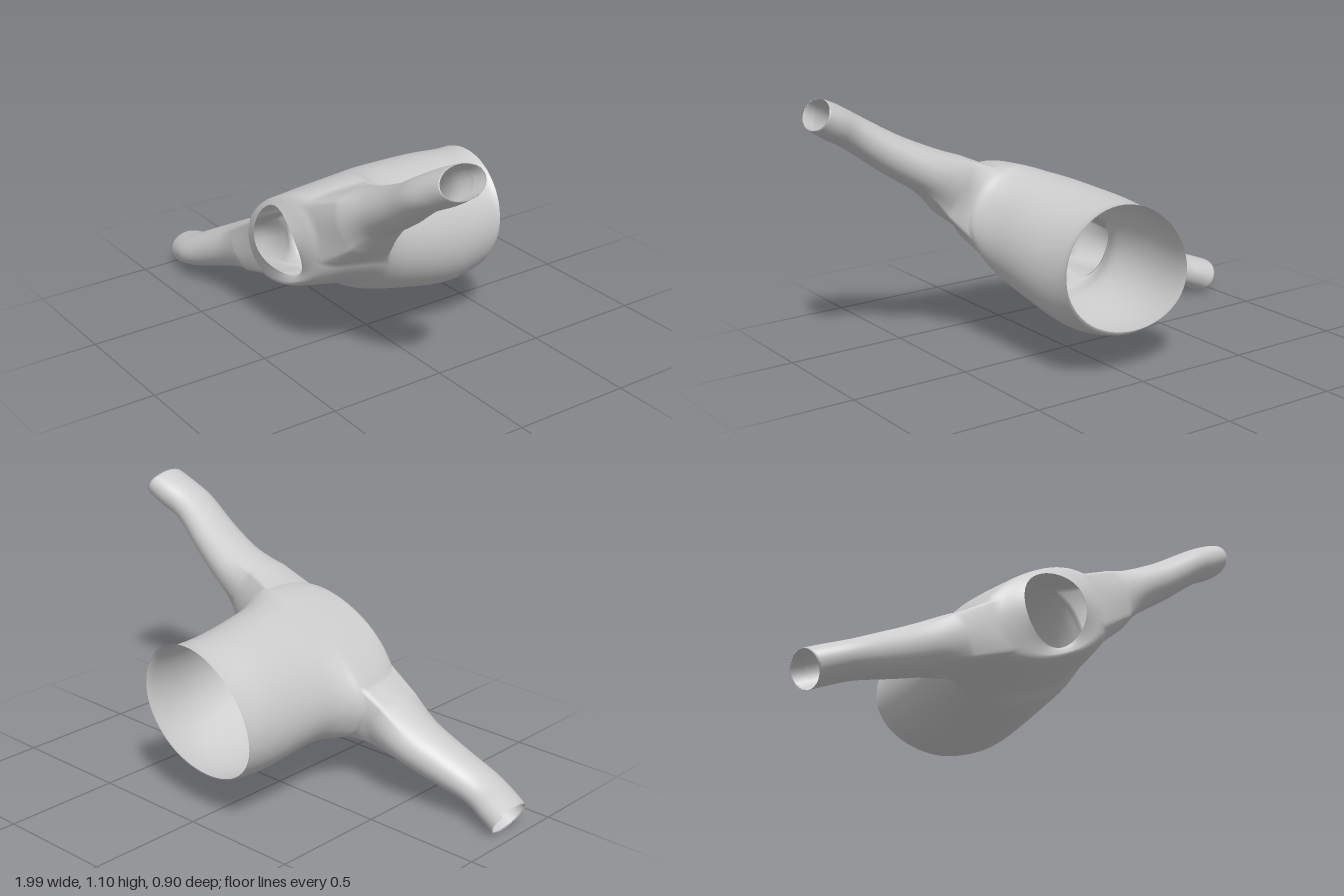
import * as THREE from 'three';

const TILT = THREE.MathUtils.degToRad(27.3);
const U = new THREE.Vector3(Math.cos(TILT), Math.sin(TILT), 0);   // along the sleeves
const V = new THREE.Vector3(-Math.sin(TILT), Math.cos(TILT), 0);  // towards the back of the shirt
const AROUND = 60, SUB = 4;

// torso sections from hem to neck: z, centre x, centre y, half width, half depth,
// roundness (1 is an ellipse, less is squarer), skew
const TORSO = [
  [-0.44, 0.027, 0.442, 0.303, 0.25, 1, 0.02],
  [-0.40, 0.026, 0.43, 0.298, 0.26, 1, 0.02],
  [-0.25, 0.026, 0.427, 0.30, 0.274, 1, 0.025],
  [0.0, 0.03, 0.455, 0.312, 0.253, 0.95, 0.03],
  [0.1, 0.022, 0.464, 0.342, 0.236, 0.88, 0.03],
  [0.16, 0.012, 0.478, 0.372, 0.215, 0.83, 0.03],
  [0.28, 0.01, 0.488, 0.365, 0.197, 0.82, 0.025],
  [0.36, 0.01, 0.492, 0.34, 0.186, 0.84, 0.02],
  [0.403, 0.01, 0.50, 0.285, 0.174, 0.9, 0.01],
  [0.425, 0.012, 0.505, 0.153, 0.147, 1, 0],
];
const HOLE_LOW = 5 * SUB, HOLE_HIGH = 8 * SUB, HOLE_HALF = 6;

// sleeve sections from shoulder to cuff, then folded back inside:
// x, y, z, half size in z, half size across
const LEFT_SLEEVE = [
  [0.38, 0.697, 0.278, 0.133, 0.118],
  [0.5, 0.77, 0.268, 0.127, 0.094],
  [0.65, 0.855, 0.287, 0.114, 0.08],
  [0.8, 0.955, 0.309, 0.103, 0.07],
  [0.9, 1.012, 0.292, 0.103, 0.071],
  [0.964, 1.048, 0.282, 0.1, 0.064],
  [0.915, 1.021, 0.29, 0.094, 0.062],
];
const RIGHT_SLEEVE = [
  [-0.36, 0.325, 0.278, 0.133, 0.113],
  [-0.5, 0.26, 0.268, 0.126, 0.098],
  [-0.65, 0.195, 0.289, 0.112, 0.085],
  [-0.8, 0.13, 0.316, 0.101, 0.072],
  [-0.9, 0.092, 0.297, 0.102, 0.072],
  [-0.965, 0.066, 0.28, 0.097, 0.073],
  [-0.915, 0.086, 0.293, 0.094, 0.066],
];

// smooth in-between sections, SUB steps per given section
function refine(rows) {
  const out = [], last = rows.length - 1;
  for (let n = 0; n <= last * SUB; n++) {
    const k = Math.min(Math.floor(n / SUB), last - 1), t = n / SUB - k;
    const [a, b, c, d] = [Math.max(k - 1, 0), k, k + 1, Math.min(k + 2, last)].map((i) => rows[i]);
    out.push(b.map((_, i) => {
      const m0 = (c[i] - a[i]) / 2, m1 = (d[i] - b[i]) / 2;
      return b[i] + t * (m0 + t * (3 * (c[i] - b[i]) - 2 * m0 - m1 + t * (2 * (b[i] - c[i]) + m0 + m1)));
    }));
  }
  return out;
}

const signedPow = (x, e) => Math.sign(x) * Math.abs(x) ** e;

export function createModel() {
  const points = [], faces = [];
  const quad = (a, b, c, d) => faces.push(a, b, c, a, c, d);
  const add = (p) => points.push(p) - 1;
  const at = (ring, i) => ring * AROUND + ((i % AROUND) + AROUND) % AROUND;

  // torso: rings from hem to neck, with a tilted hem and a dipped neckline
  const rings = refine(TORSO), top = rings.length - 1;
  rings.forEach(([z, cx, cy, a, b, e, skew], r) => {
    const hem = Math.max(0, 1 - r / SUB), neck = Math.max(0, 1 - (top - r) / SUB);
    for (let i = 0; i < AROUND; i++) {
      const th = (i / AROUND) * Math.PI * 2, c = Math.cos(th), s = Math.sin(th);
      const p = new THREE.Vector3(cx, cy, z)
        .addScaledVector(U, a * signedPow(c, e))
        .addScaledVector(V, b * signedPow(s, e) + skew * c * s);
      p.z += -0.012 * s * hem + (0.018 * s - 0.015 + 0.037 * c * c) * neck;
      add(p);
    }
  });
  const inHole = (r, i) => {
    const fromSide = (i + HOLE_HALF) % (AROUND / 2);
    return r >= HOLE_LOW && r < HOLE_HIGH && fromSide < 2 * HOLE_HALF;
  };
  for (let r = 0; r < top; r++) {
    for (let i = 0; i < AROUND; i++) {
      if (!inHole(r, i)) quad(at(r, i), at(r, i + 1), at(r + 1, i + 1), at(r + 1, i));
    }
  }

  // sleeves: grow from the edge of each armhole out to an open cuff
  for (const [middle, rows] of [[0, LEFT_SLEEVE], [AROUND / 2, RIGHT_SLEEVE]]) {
    const lo = middle - HOLE_HALF, hi = middle + HOLE_HALF;
    let loop = [];
    for (let i = lo; i < hi; i++) loop.push(at(HOLE_LOW, i));
    for (let r = HOLE_LOW; r < HOLE_HIGH; r++) loop.push(at(r, hi));
    for (let i = hi; i > lo; i--) loop.push(at(HOLE_HIGH, i));
    for (let r = HOLE_HIGH; r > HOLE_LOW; r--) loop.push(at(r, lo));

    // direction and relative distance of each armhole point from the sleeve axis
    const [x0, y0, z0, rz0, rv0] = rows[0];
    const root = new THREE.Vector3(x0, y0, z0);
    const rays = loop.map((id) => {
      const d = points[id].clone().sub(root);
      const v = d.dot(V) / rv0, w = d.z / rz0;
      return { angle: Math.atan2(v, w), reach: Math.hypot(v, w) };
    });
    refine(rows).forEach(([x, y, z, rz, rv], n) => {
      const blend = 0.4 * Math.max(0, 1 - n / SUB);
      const next = rays.map(({ angle, reach }) => {
        const k = 1 + (reach - 1) * blend;
        return add(new THREE.Vector3(x, y, z + k * rz * Math.cos(angle))
          .addScaledVector(V, k * rv * Math.sin(angle)));
      });
      loop.forEach((id, p) => {
        const q = (p + 1) % loop.length;
        quad(id, loop[q], next[q], next[p]);
      });
      loop = next;
    });
  }

  const geometry = new THREE.BufferGeometry().setFromPoints(points);
  geometry.setIndex(faces);
  geometry.computeVertexNormals();
  const shirt = new THREE.Mesh(geometry,
    new THREE.MeshStandardMaterial({ color: 0xcccccc, side: THREE.DoubleSide }));
  shirt.name = 'longSleevedShirt';

  const group = new THREE.Group();
  group.name = 'shirt';
  group.add(shirt);
  return group;
}
